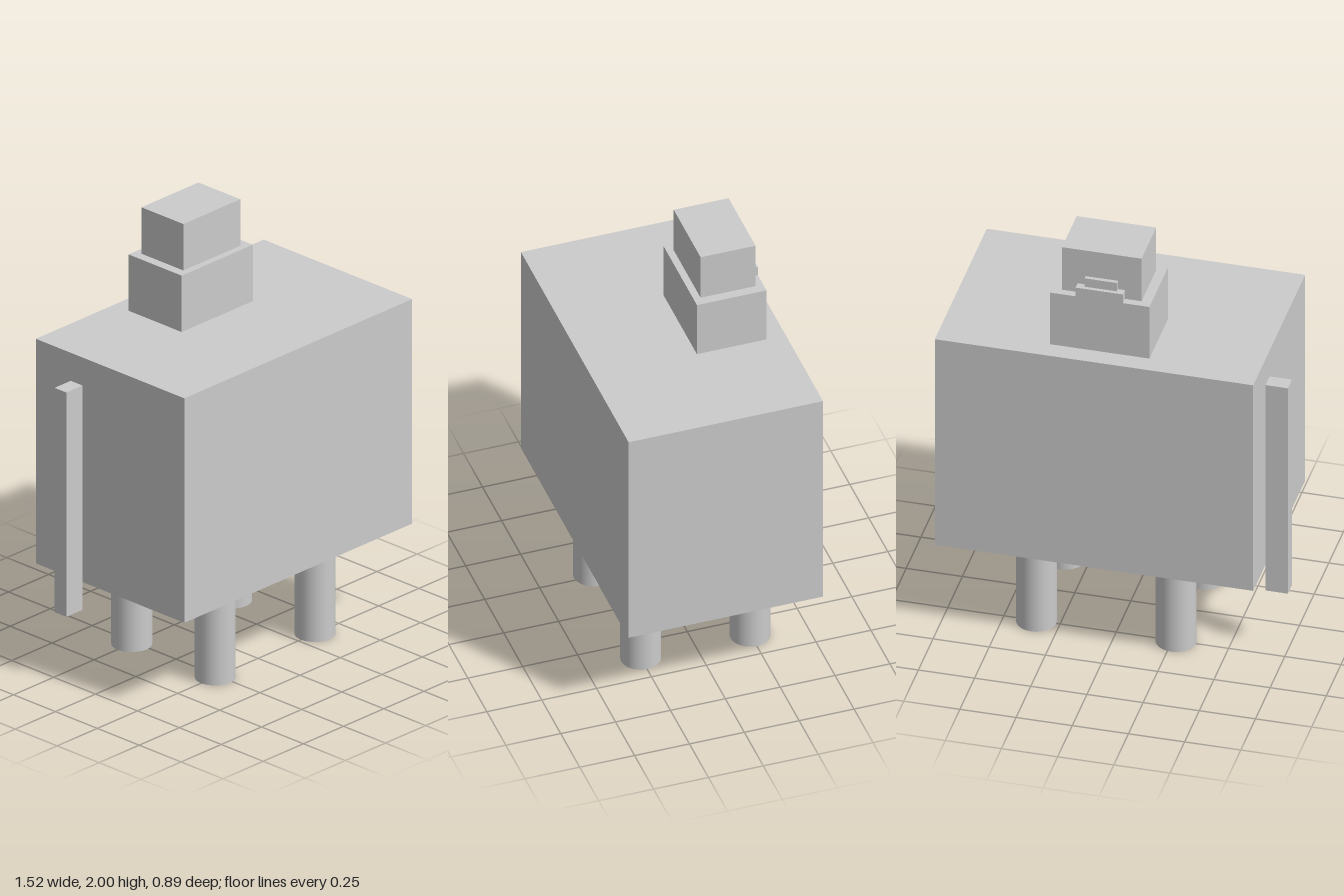
import * as THREE from 'three';

export function createModel() {
  const model = new THREE.Group();
  const material = new THREE.MeshStandardMaterial({ color: 0xcccccc });

  // Box given by its extents on each axis
  const addBox = (name, [x0, x1], [y0, y1], [z0, z1]) => {
    const mesh = new THREE.Mesh(new THREE.BoxGeometry(x1 - x0, y1 - y0, z1 - z0), material);
    mesh.position.set((x0 + x1) / 2, (y0 + y1) / 2, (z0 + z1) / 2);
    mesh.name = name;
    model.add(mesh);
  };

  // Torso and head
  addBox('body', [-0.66, 0.757], [0.449, 1.513], [-0.443, 0.443]);
  addBox('neck', [-0.175, 0.267], [1.513, 1.78], [-0.355, -0.038]);
  addBox('head', [-0.131, 0.223], [1.78, 2], [-0.32, -0.07]);

  // Stepped tabs behind the head
  addBox('lowerTab', [-0.057, 0.154], [1.78, 1.825], [-0.355, -0.32]);
  addBox('upperTab', [-0.026, 0.118], [1.825, 1.868], [-0.338, -0.32]);

  // Upright bar on the side
  addBox('sideBar', [-0.76, -0.66], [0.317, 1.38], [-0.235, -0.165]);

  // Four round legs
  const legGeometry = new THREE.CylinderGeometry(0.0885, 0.0885, 0.449, 32);
  for (const [side, x] of [['Right', -0.266], ['Left', 0.355]]) {
    for (const [end, z] of [['front', 0.249], ['back', -0.249]]) {
      const leg = new THREE.Mesh(legGeometry, material);
      leg.position.set(x, 0.2245, z);
      leg.name = `${end}${side}Leg`;
      model.add(leg);
    }
  }
  return model;
}
